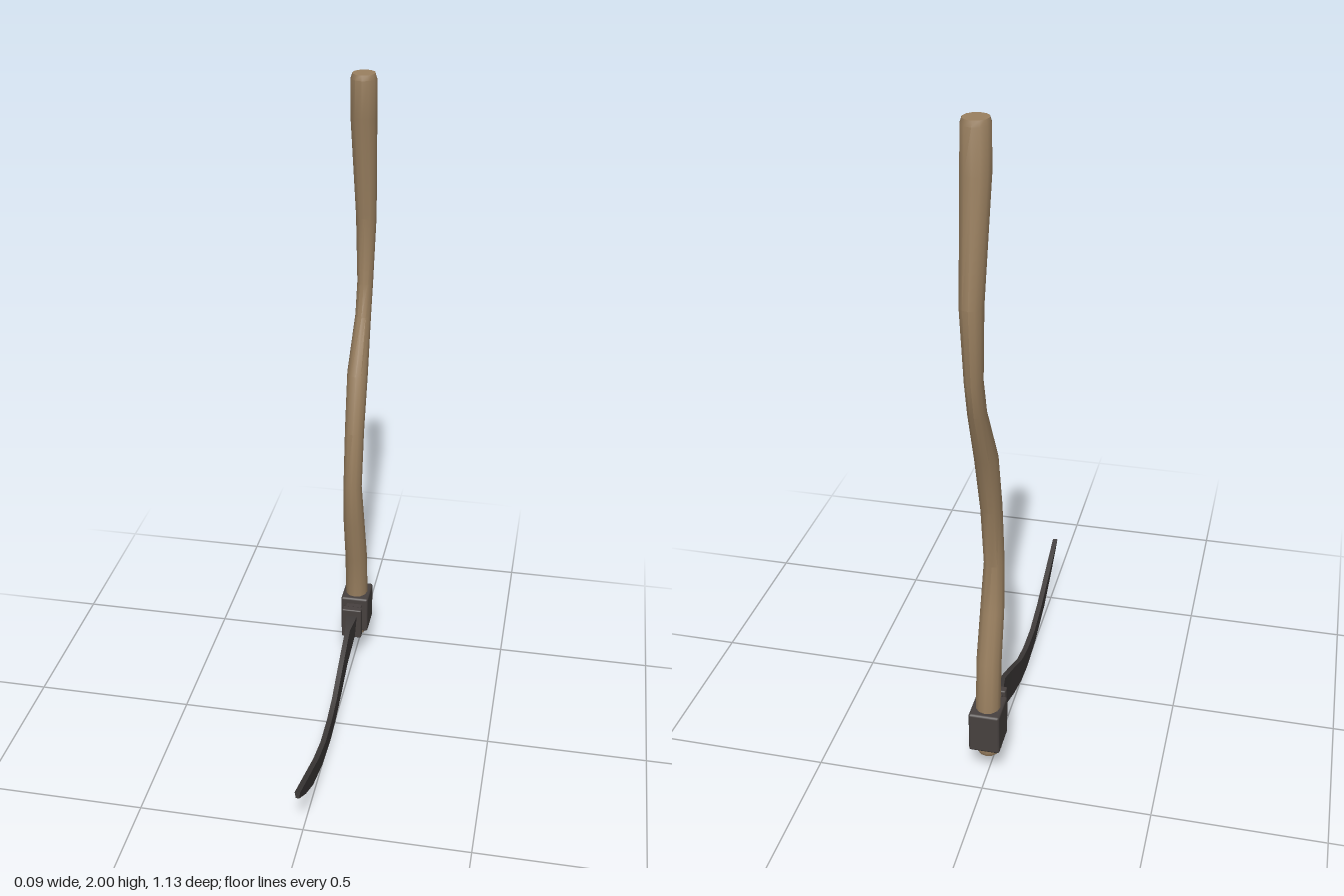
import * as THREE from 'three';
import { toCreasedNormals } from 'three/addons/utils/BufferGeometryUtils.js';
import { RoundedBoxGeometry } from 'three/addons/geometries/RoundedBoxGeometry.js';

const wood = new THREE.MeshStandardMaterial({ color: 0x9a8060 });
const metal = new THREE.MeshStandardMaterial({ color: 0x47413f });
const darkMetal = new THREE.MeshStandardMaterial({ color: 0x3e3a39 });

// Skin a closed, capped body over rings that run counter-clockwise about the path
function loft(rings, crease) {
  const n = rings[0].length;
  const index = [];
  for (let i = 0; i < rings.length - 1; i++) {
    for (let j = 0; j < n; j++) {
      const a = i * n + j, b = i * n + (j + 1) % n;
      index.push(a, b, b + n, a, b + n, a + n);
    }
  }
  const last = (rings.length - 1) * n;
  for (let j = 1; j < n - 1; j++) {
    index.push(0, j + 1, j, last, last + j, last + j + 1);
  }
  const geometry = new THREE.BufferGeometry();
  geometry.setAttribute('position', new THREE.Float32BufferAttribute(rings.flat(2), 3));
  geometry.setIndex(index);
  return toCreasedNormals(geometry, crease);
}

function addMesh(group, name, geometry, material, x = 0, y = 0, z = 0) {
  const mesh = new THREE.Mesh(geometry, material);
  mesh.name = name;
  mesh.position.set(x, y, z);
  group.add(mesh);
}

// Crooked wooden handle: height, centre x, centre z, half width x, half depth z
function handleGeometry() {
  const stations = [
    [0.085, -0.002, -0.417, 0.033, 0.036],
    [0.095, -0.002, -0.417, 0.037, 0.04],
    [0.25, -0.001, -0.418, 0.037, 0.04],
    [0.40, -0.001, -0.4, 0.037, 0.04],
    [0.55, -0.003, -0.365, 0.035, 0.036],
    [0.70, -0.006, -0.348, 0.03, 0.032],
    [0.89, -0.005, -0.37, 0.031, 0.036],
    [1.07, -0.005, -0.419, 0.033, 0.037],
    [1.24, -0.001, -0.492, 0.025, 0.034],
    [1.34, 0, -0.517, 0.025, 0.031],
    [1.55, -0.001, -0.53, 0.032, 0.036],
    [1.87, -0.003, -0.478, 0.04, 0.042],
    [1.985, -0.002, -0.467, 0.039, 0.043],
    [2.0, -0.002, -0.467, 0.034, 0.038],
  ];
  const sides = 12;
  const rings = stations.map(([y, cx, cz, rx, rz]) =>
    Array.from({ length: sides }, (_, j) => {
      const t = j / sides * Math.PI * 2;
      return [cx + rx * Math.sin(t), y, cz + rz * Math.cos(t)];
    }));
  return loft(rings, 0.6);
}

// Curved blade: spine z, spine y, edge z, edge y, half thickness of spine and edge
function bladeGeometry() {
  const stations = [
    [-0.345, 0.215, -0.345, 0.14, 0.02, 0.016],
    [-0.307, 0.212, -0.307, 0.13, 0.018, 0.012],
    [-0.233, 0.205, -0.205, 0.085, 0.008, 0.005],
    [-0.10, 0.148, -0.10, 0.042, 0.008, 0.004],
    [0, 0.102, 0.005, 0.013, 0.008, 0.004],
    [0.085, 0.083, 0.095, 0.003, 0.008, 0.004],
    [0.19, 0.08, 0.22, 0.016, 0.008, 0.004],
    [0.30, 0.106, 0.365, 0.06, 0.008, 0.004],
    [0.43, 0.155, 0.47, 0.117, 0.008, 0.004],
    [0.567, 0.207, 0.567, 0.185, 0.008, 0.005],
  ];
  const rings = stations.map(([sz, sy, ez, ey, s, e]) =>
    [[e, ey, ez], [s, sy, sz], [-s, sy, sz], [-e, ey, ez]]);
  return loft(rings, 0.5);
}

export function createModel() {
  const group = new THREE.Group();
  group.name = 'scythe';
  addMesh(group, 'handle', handleGeometry(), wood);
  addMesh(group, 'blade', bladeGeometry(), darkMetal);

  // Socket around the foot of the handle, with the neck and flange that hold the blade
  addMesh(group, 'socket', new RoundedBoxGeometry(0.092, 0.13, 0.108, 1, 0.007), metal, 0, 0.18, -0.418);
  addMesh(group, 'neck', new THREE.BoxGeometry(0.05, 0.09, 0.05), metal, 0, 0.18, -0.35);
  addMesh(group, 'flange', new RoundedBoxGeometry(0.066, 0.11, 0.026, 1, 0.004), metal, 0, 0.18, -0.322);
  return group;
}
